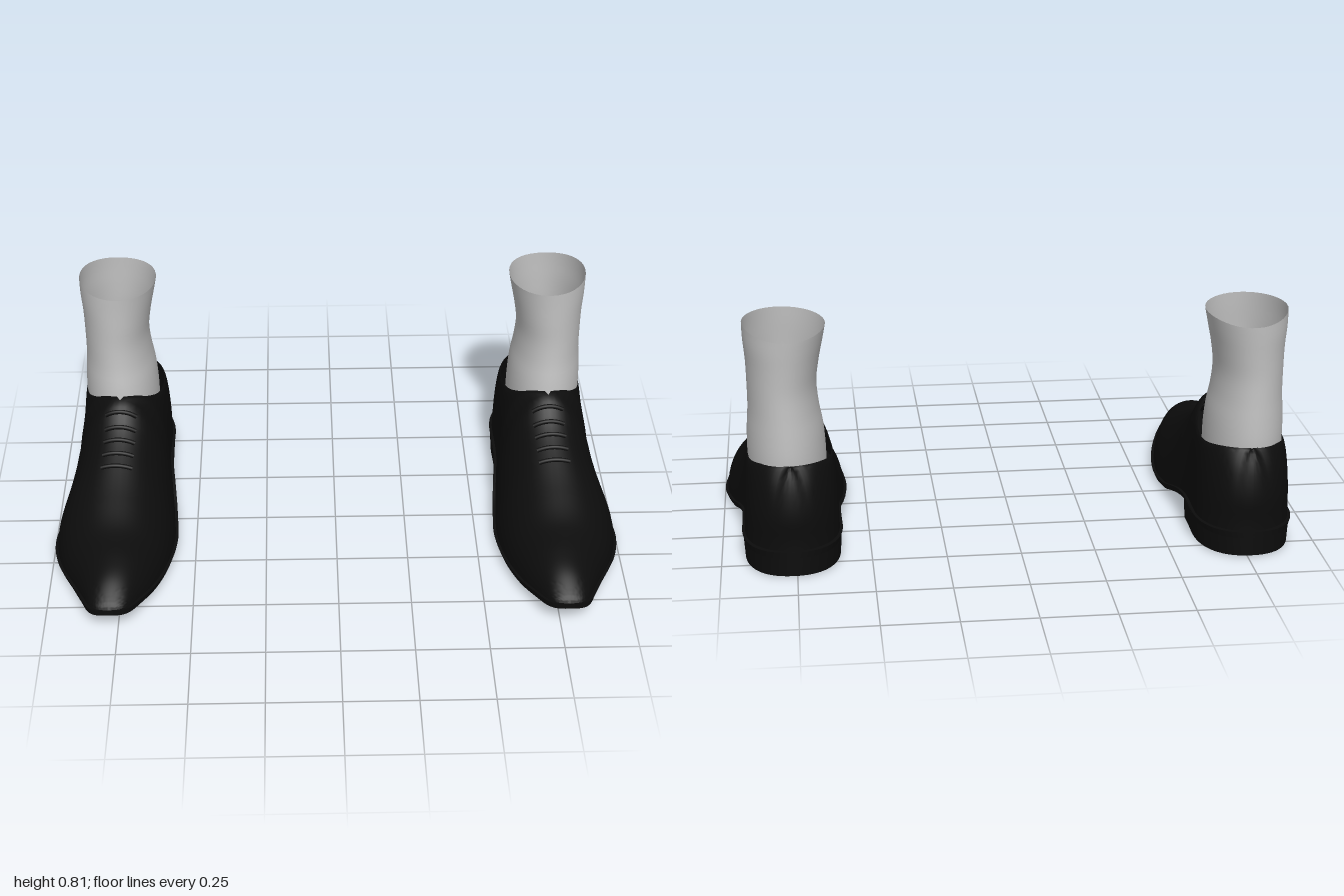
import * as THREE from 'three';
import { mergeVertices, toCreasedNormals } from 'three/addons/utils/BufferGeometryUtils.js';

// Smooth curve through [position, value] pairs in rising order
function curve(pts) {
  const slope = (i) => {
    const a = pts[Math.max(i - 1, 0)], b = pts[Math.min(i + 1, pts.length - 1)];
    return (b[1] - a[1]) / (b[0] - a[0]);
  };
  return (p) => {
    p = THREE.MathUtils.clamp(p, pts[0][0], pts[pts.length - 1][0]);
    let i = 0;
    while (i < pts.length - 2 && p > pts[i + 1][0]) i++;
    const d = pts[i + 1][0] - pts[i][0], t = (p - pts[i][0]) / d, u = 1 - t;
    return pts[i][1] * u * u * (1 + 2 * t) + slope(i) * d * t * u * u
      + pts[i + 1][1] * t * t * (3 - 2 * t) - slope(i + 1) * d * t * t * u;
  };
}

// Shoe lines along z, from heel to toe
const centre = curve([[-0.62, 0.762], [-0.4, 0.762], [-0.1, 0.766], [0.15, 0.782], [0.3, 0.78], [0.45, 0.771], [0.62, 0.778]]);
const baseWidth = curve([[-0.62, 0.17], [-0.4, 0.168], [-0.25, 0.168], [-0.1, 0.185], [0, 0.2], [0.15, 0.217],
  [0.3, 0.195], [0.45, 0.141], [0.55, 0.097], [0.62, 0.068]]);
const bottom = curve([[-0.62, 0.072], [-0.26, 0.07], [-0.18, 0.06], [-0.1, 0.04], [0, 0.012], [0.15, 0], [0.4, 0.022], [0.62, 0.062]]);
const top = curve([[-0.62, 0.372], [-0.55, 0.366], [-0.4, 0.355], [-0.28, 0.37], [-0.2, 0.405], [-0.14, 0.442], [-0.1, 0.425],
  [-0.06, 0.385], [0, 0.343], [0.1, 0.29], [0.2, 0.245], [0.32, 0.2], [0.45, 0.175], [0.53, 0.15], [0.6, 0.105], [0.62, 0.083]]);
const heelLean = curve([[0.06, 0.008], [0.12, 0.01], [0.2, 0.004], [0.3, 0.018], [0.38, 0.046]]);

// Half width with rounded heel and toe ends
function halfWidth(z) {
  const end = (d, power) => Math.pow(Math.max(0, 1 - Math.pow(THREE.MathUtils.clamp(d, 0, 1), power)), 1 / power);
  return baseWidth(z) * end((-0.4 - z) / 0.22, 2.3) * end((z - 0.54) / 0.08, 4);
}

const stations = (from, to, n) => Array.from({ length: n + 1 }, (_, i) =>
  (from + to) / 2 - Math.cos((Math.PI * i) / n) * (to - from) / 2);

// Skin over rows of [x, y, z]; side -1 mirrors it, gap leaves one strip open
function skin(rows, side, crease, gap = -1) {
  const n = rows[0].length, index = [];
  for (let i = 0; i < rows.length - 1; i++) for (let j = 0; j < n - 1; j++) {
    if (j === gap) continue;
    const a = i * n + j, b = a + n;
    if (side > 0) index.push(a, b, b + 1, a, b + 1, a + 1);
    else index.push(a, b + 1, b, a, a + 1, b + 1);
  }
  const geometry = new THREE.BufferGeometry();
  geometry.setAttribute('position', new THREE.Float32BufferAttribute(rows.flat().flatMap(([x, y, z]) => [x * side, y, z]), 3));
  geometry.setIndex(index);
  return toCreasedNormals(mergeVertices(geometry, 1e-5), crease);
}

// Domed upper with an open collar
function upperRows() {
  const n = 14;
  return stations(-0.62, 0.62, 96).map((z) => {
    const w = Math.max(0, halfWidth(z) - 0.01), e = (z + 0.3725) / 0.2325;
    const rim = Math.min(w * 0.92, 0.138 * Math.sqrt(Math.max(0, 1 - e * e)));
    const y0 = bottom(z) + 0.015, h = top(z) - y0;
    const back = THREE.MathUtils.smoothstep(-z, 0.4, 0.62);
    const point = (s, j) => {
      const a = (j / n) * Math.PI / 2, y = y0 + h * Math.sin(a);
      return [centre(z) + s * (rim + (w - rim) * Math.cos(a)), y, z + heelLean(y) * back];
    };
    const row = [];
    for (let j = 0; j <= n; j++) row.push(point(-1, j));
    for (let j = n; j >= 0; j--) row.push(point(1, j));
    return row;
  });
}

// Box-like section, listed inner bottom, inner top, outer top, outer bottom
const slab = (z, w, low, high, taper) => [[-taper, low], [-1, high], [1, high], [taper, low], [-taper, low]]
  .map(([s, y]) => [centre(z) + s * w, y, z]);

function soleRows() {
  return stations(-0.622, 0.622, 80).map((z) => slab(z, halfWidth(z / 1.0033), bottom(z), bottom(z) + 0.021, 0.96));
}

function heelRows() {
  const rows = stations(-0.608, -0.26, 28).map((z) => slab(z, halfWidth(z * 1.0197) * 0.98, 0.003, 0.08, 0.97));
  rows.push(slab(-0.26, 0, 0.003, 0.08, 1));
  return rows;
}

// Sock tube: height, inner x, outer x, back z, front z
function sockRows() {
  const data = [[0.3, 0.64, 0.9, -0.56, -0.16], [0.38, 0.642, 0.902, -0.562, -0.158], [0.45, 0.648, 0.9, -0.557, -0.168],
    [0.52, 0.66, 0.895, -0.55, -0.183], [0.6, 0.666, 0.895, -0.544, -0.193], [0.68, 0.656, 0.897, -0.544, -0.196],
    [0.75, 0.642, 0.903, -0.546, -0.199], [0.802, 0.632, 0.904, -0.547, -0.2]];
  const lines = [1, 2, 3, 4].map((k) => curve(data.map((d) => [d[0], d[k]])));
  const rows = [];
  for (let i = 0; i <= 24; i++) {
    const y = 0.3 + (0.502 * i) / 24, [x0, x1, z0, z1] = lines.map((f) => f(y));
    const lift = Math.pow(i / 24, 4), row = [];
    for (let j = 0; j <= 40; j++) {
      const a = (j / 40) * Math.PI * 2, c = Math.cos(a), s = Math.sin(a);
      // The top edge dips at the back and on the inner side
      const dip = lift * (0.006 * c + (s < 0 ? -0.02 * s * s : 0));
      row.push([(x0 + x1) / 2 + c * (x1 - x0) / 2, y + dip, (z0 + z1) / 2 + s * (z1 - z0) / 2]);
    }
    rows.push(row);
  }
  return rows;
}

// One lace lying across the instep
function lace(z, side) {
  const pts = [];
  for (let k = -4; k <= 4; k++) {
    const x = k * 0.0135 - 0.006, y0 = bottom(z) + 0.015;
    const d = x / (halfWidth(z) - 0.01);
    pts.push(new THREE.Vector3((centre(z) + x) * side, y0 + (top(z) - y0) * Math.sqrt(1 - d * d) + 0.002, z));
  }
  return new THREE.TubeGeometry(new THREE.CatmullRomCurve3(pts), 16, 0.008, 8);
}

export function createModel() {
  const leather = new THREE.MeshStandardMaterial({ color: 0x0c0c0c, side: THREE.DoubleSide });
  leather.name = 'black leather';
  const knit = new THREE.MeshStandardMaterial({ color: 0xbebebe, side: THREE.DoubleSide });
  knit.name = 'grey knit';

  const model = new THREE.Group();
  model.name = 'shoesAndSocks';
  for (const side of [1, -1]) {
    const shoe = new THREE.Group();
    shoe.name = side > 0 ? 'leftShoe' : 'rightShoe';
    const add = (name, geometry, material) => {
      const mesh = new THREE.Mesh(geometry, material);
      mesh.name = name;
      shoe.add(mesh);
    };
    add('upper', skin(upperRows(), side, 1.2, 14), leather);
    add('sole', skin(soleRows(), side, 0.7), leather);
    add('heel', skin(heelRows(), side, 0.7), leather);
    for (const z of [-0.085, -0.045, -0.005, 0.04, 0.085]) add('lace', lace(z, side), leather);
    // Rings run front to back here, so the skin is wound the other way
    add('sock', skin(sockRows().reverse(), side, 1.2), knit);
    model.add(shoe);
  }
  return model;
}
